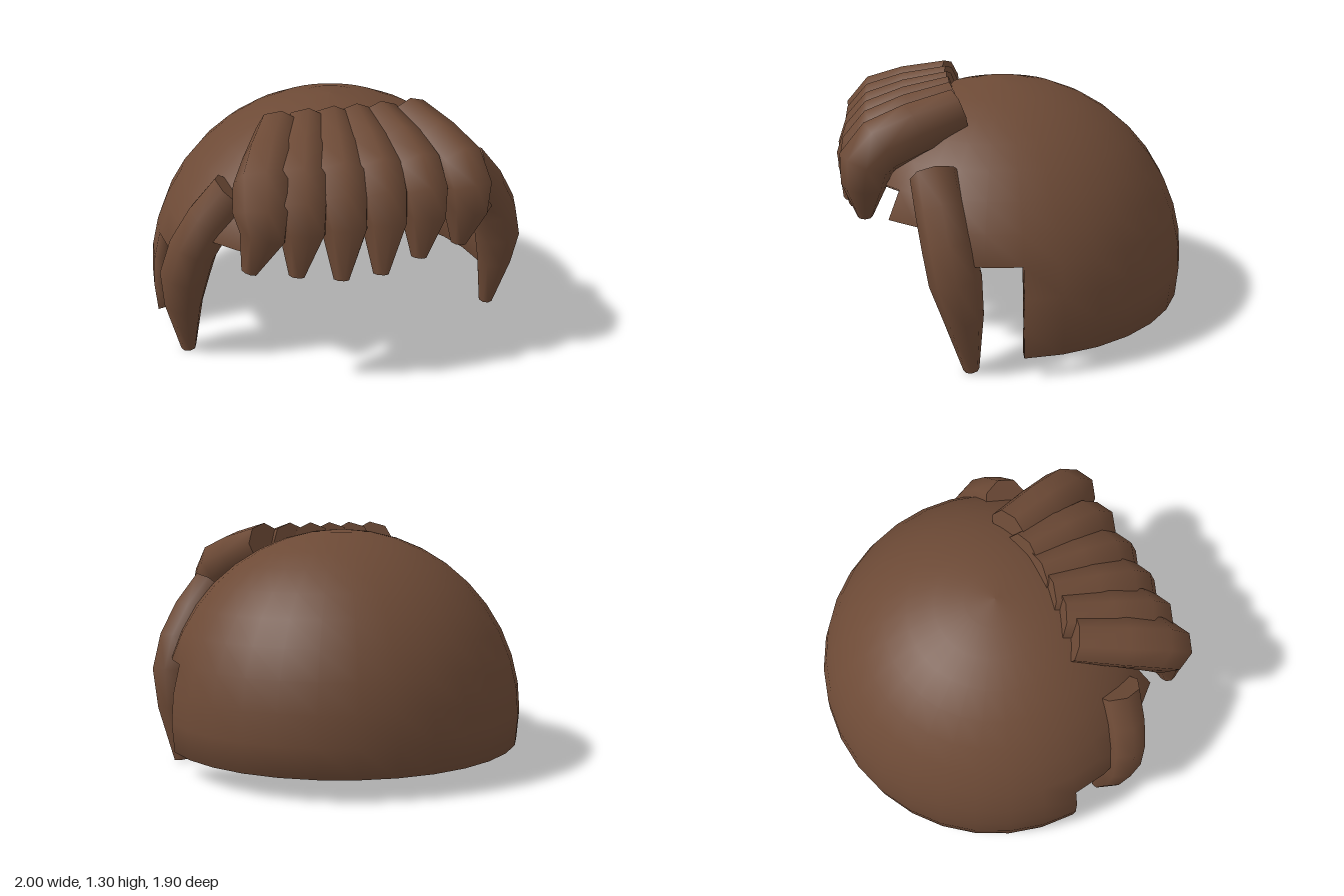
import * as THREE from 'three';

const SIDES = 8;

// Tapered lock swept through [x, y, z, radius] stations, closed with flat caps.
function lockGeometry(stations, ref) {
  const centres = stations.map(s => new THREE.Vector3(s[0], s[1], s[2]));
  const last = centres.length - 1;
  const pos = [], index = [];
  const addRing = i => {
    const t = centres[Math.min(i + 1, last)].clone().sub(centres[Math.max(i - 1, 0)]).normalize();
    const n = ref.clone().addScaledVector(t, -ref.dot(t)).normalize();
    const b = t.clone().cross(n);
    const start = pos.length / 3;
    for (let j = 0; j < SIDES; j++) {
      const a = j / SIDES * Math.PI * 2;
      const p = centres[i].clone()
        .addScaledVector(n, Math.cos(a) * stations[i][3])
        .addScaledVector(b, Math.sin(a) * stations[i][3]);
      pos.push(p.x, p.y, p.z);
    }
    return start;
  };
  for (let i = 0; i <= last; i++) addRing(i);
  for (let i = 0; i < last; i++) {
    for (let j = 0; j < SIDES; j++) {
      const k = (j + 1) % SIDES;
      const a = i * SIDES + j, b = i * SIDES + k;
      index.push(a, b, a + SIDES, b, b + SIDES, a + SIDES);
    }
  }
  // Caps use their own rings so their edges stay sharp
  const top = addRing(0), tip = addRing(last);
  for (let j = 1; j < SIDES - 1; j++) {
    index.push(top, top + j + 1, top + j);
    index.push(tip, tip + j, tip + j + 1);
  }
  return finish(pos, index);
}

// Thick dome of 11 rows by 32 columns; isFilled(row, degrees from the front) cuts the edge.
function shellGeometry(thickness, isFilled) {
  const rows = 11, cols = 32, layer = (rows + 1) * cols;
  const pos = [], index = [];
  for (const r of [1, 1 - thickness]) {
    for (let i = 0; i <= rows; i++) {
      for (let j = 0; j < cols; j++) {
        const p = new THREE.Vector3().setFromSphericalCoords(
          r, Math.PI * i / 20, Math.PI * 2 * j / cols);
        pos.push(p.x, p.y, p.z);
      }
    }
  }
  const at = (i, j) => i * cols + (j + cols) % cols;
  const quad = (a, b, c, d) => index.push(a, b, c, a, c, d);
  const filled = (i, j) => {
    const angle = ((j + cols) % cols + 0.5) * 360 / cols;
    return i < rows && isFilled(i, Math.min(angle, 360 - angle));
  };
  const rim = (a, b) => quad(b, a, a + layer, b + layer);
  for (let i = 0; i < rows; i++) {
    for (let j = 0; j < cols; j++) {
      if (!filled(i, j)) continue;
      const a = at(i, j), b = at(i + 1, j), c = at(i + 1, j + 1), d = at(i, j + 1);
      quad(a, b, c, d);
      quad(d + layer, c + layer, b + layer, a + layer);
      if (!filled(i + 1, j)) rim(b, c);
      if (!filled(i, j - 1)) rim(a, b);
      if (!filled(i, j + 1)) rim(c, d);
    }
  }
  return finish(pos, index);
}

function finish(pos, index) {
  const g = new THREE.BufferGeometry();
  g.setAttribute('position', new THREE.Float32BufferAttribute(pos, 3));
  g.setIndex(index);
  g.computeVertexNormals();
  return g;
}

export function createModel() {
  const group = new THREE.Group();
  const brown = new THREE.MeshStandardMaterial({ color: 0x6d4a36 });
  brown.name = 'brown hair';

  const add = (name, geometry) => {
    const mesh = new THREE.Mesh(geometry, brown);
    mesh.name = name;
    group.add(mesh);
    return mesh;
  };

  // Cap: thick dome whose lower edge steps down from the brow to the nape
  const cutAngles = [0, 0, 0, 0, 0, 0, 45, 67.5, 90, 90, 90];
  const cap = add('hairCap', shellGeometry(0.06, (row, angle) => angle > cutAngles[row]));
  cap.position.set(0, 0.27, 0.05);

  // Fringe: six overlapping locks, [root x, middle x, tip x, tip y, tip z]
  const fringe = [
    [-0.34, -0.555, -0.63, 0.68, 0.80],
    [-0.20, -0.37, -0.41, 0.65, 0.85],
    [-0.07, -0.17, -0.20, 0.62, 0.89],
    [0.05, 0.03, 0.00, 0.62, 0.89],
    [0.18, 0.24, 0.21, 0.66, 0.85],
    [0.34, 0.47, 0.44, 0.68, 0.80],
  ];
  const xAxis = new THREE.Vector3(1, 0, 0);
  fringe.forEach(([root, mid, tip, tipY, tipZ], i) => {
    const x = f => root + (mid - root) * f;
    add(`fringeLock${i + 1}`, lockGeometry([
      [root, 1.18, 0.31, 0.125],
      [x(0.5), 1.115, 0.54, 0.14],
      [x(0.88), 1.05, 0.71, 0.145],
      [x(1), 0.97, 0.78, 0.14],
      [mid, 0.86, (0.79 + tipZ) / 2, 0.115],
      [tip, tipY, tipZ, 0.04],
    ], xAxis));
  });

  // Side locks: one in front of each ear
  const zAxis = new THREE.Vector3(0, 0, 1);
  for (const [name, s] of [['leftSideLock', 1], ['rightSideLock', -1]]) {
    add(name, lockGeometry([
      [s * 0.615, 0.94, 0.445, 0.125],
      [s * 0.74, 0.795, 0.425, 0.125],
      [s * 0.825, 0.65, 0.40, 0.127],
      [s * 0.872, 0.49, 0.37, 0.13],
      [s * 0.885, 0.30, 0.335, 0.10],
      [s * 0.87, 0.005, 0.30, 0.04],
    ], zAxis));
  }
  return group;
}
